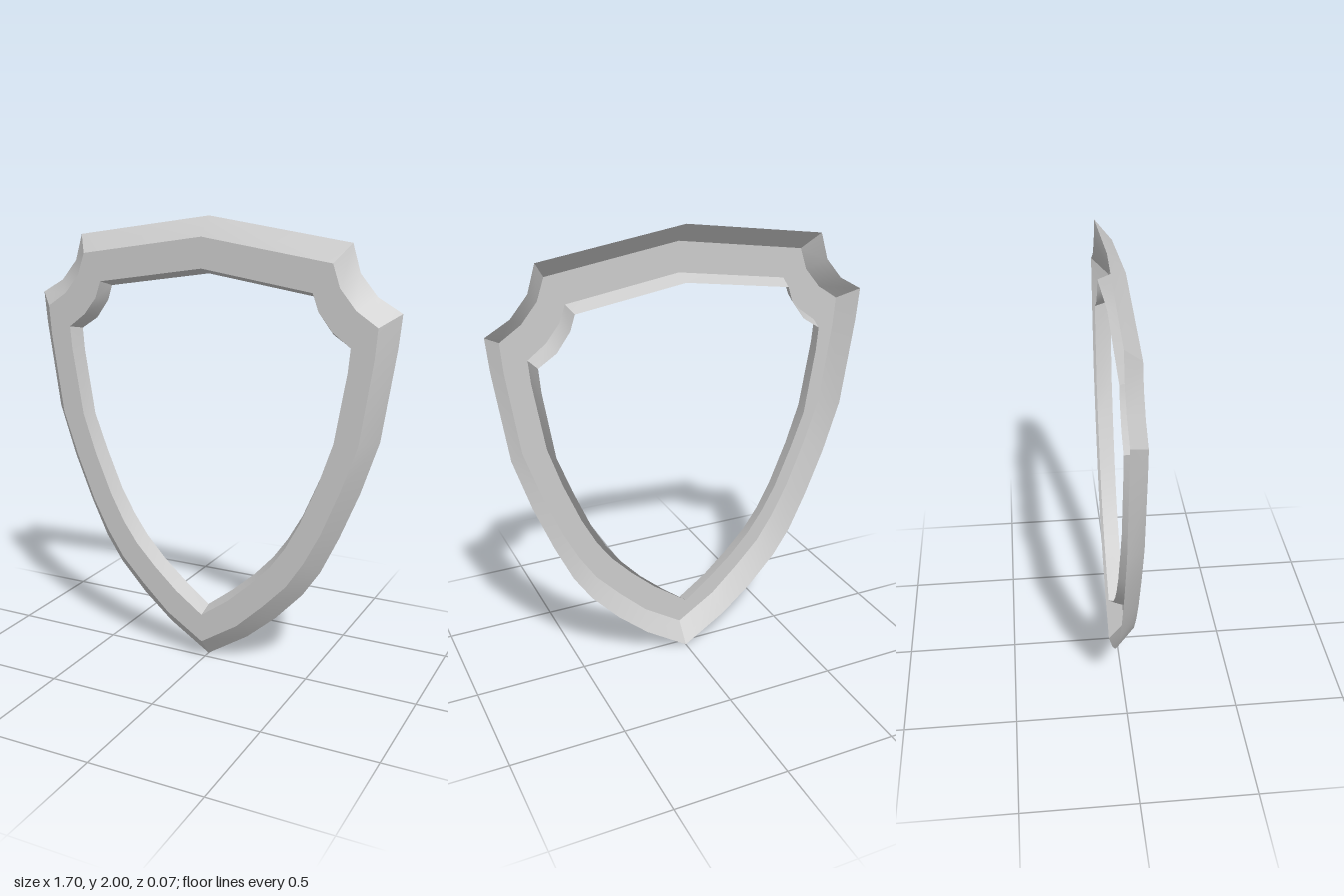
import * as THREE from 'three';
import { toCreasedNormals } from 'three/addons/utils/BufferGeometryUtils.js';

const DEPTH = 0.037; // half the frame's thickness

// Half outlines on the +x side, from top centre clockwise to the bottom tip
const outerBack = [[0, 2], [0.635, 1.907], [0.67, 1.79], [0.745, 1.7], [0.85, 1.64], [0.837, 1.5], [0.78, 1.11],
  [0.705, 0.88], [0.62, 0.67], [0.54, 0.5], [0.46, 0.38], [0.335, 0.245], [0.196, 0.125], [0, 0]];
const outerFront = [[0, 1.917], [0.58, 1.83], [0.612, 1.735], [0.682, 1.65], [0.775, 1.588], [0.765, 1.46], [0.712, 1.1],
  [0.643, 0.9], [0.56, 0.695], [0.488, 0.555], [0.41, 0.435], [0.3, 0.32], [0.175, 0.202], [0, 0.09]];
const innerFront = [[0, 1.786], [0.498, 1.71], [0.525, 1.635], [0.585, 1.56], [0.665, 1.5], [0.656, 1.4], [0.606, 1.1],
  [0.545, 0.92], [0.468, 0.735], [0.402, 0.61], [0.335, 0.515], [0.24, 0.415], [0.13, 0.315], [0, 0.222]];
const innerBack = [[0, 1.76], [0.483, 1.687], [0.505, 1.62], [0.565, 1.538], [0.645, 1.486], [0.637, 1.385], [0.59, 1.09],
  [0.528, 0.925], [0.452, 0.745], [0.387, 0.63], [0.32, 0.535], [0.228, 0.435], [0.12, 0.34], [0, 0.247]];

// Mirror a half outline into a closed ring at depth z
function ring(half, z) {
  const mirrored = half.slice(1, -1).reverse().map(([x, y]) => [-x, y]);
  return [...half, ...mirrored].map(([x, y]) => [x, y, z]);
}

// Closed band of quads between two matching rings
function band(name, a, b, material) {
  const positions = [];
  a.forEach((p, i) => {
    const j = (i + 1) % a.length;
    positions.push(...p, ...b[i], ...b[j], ...p, ...b[j], ...a[j]);
  });
  const geometry = new THREE.BufferGeometry();
  geometry.setAttribute('position', new THREE.Float32BufferAttribute(positions, 3));
  const mesh = new THREE.Mesh(toCreasedNormals(geometry, 0.6), material);
  mesh.name = name;
  return mesh;
}

export function createModel() {
  const group = new THREE.Group();
  group.name = 'shieldFrame';
  const material = new THREE.MeshStandardMaterial({ color: 0xcccccc, side: THREE.DoubleSide });

  const rings = [
    ring(outerBack, -DEPTH), ring(outerFront, DEPTH),
    ring(innerFront, DEPTH), ring(innerBack, -DEPTH),
  ];
  // Sloped rim, flat face and inner wall; the back is open
  ['outerBevel', 'frontFace', 'innerWall'].forEach((name, i) => {
    group.add(band(name, rings[i], rings[i + 1], material));
  });
  return group;
}
